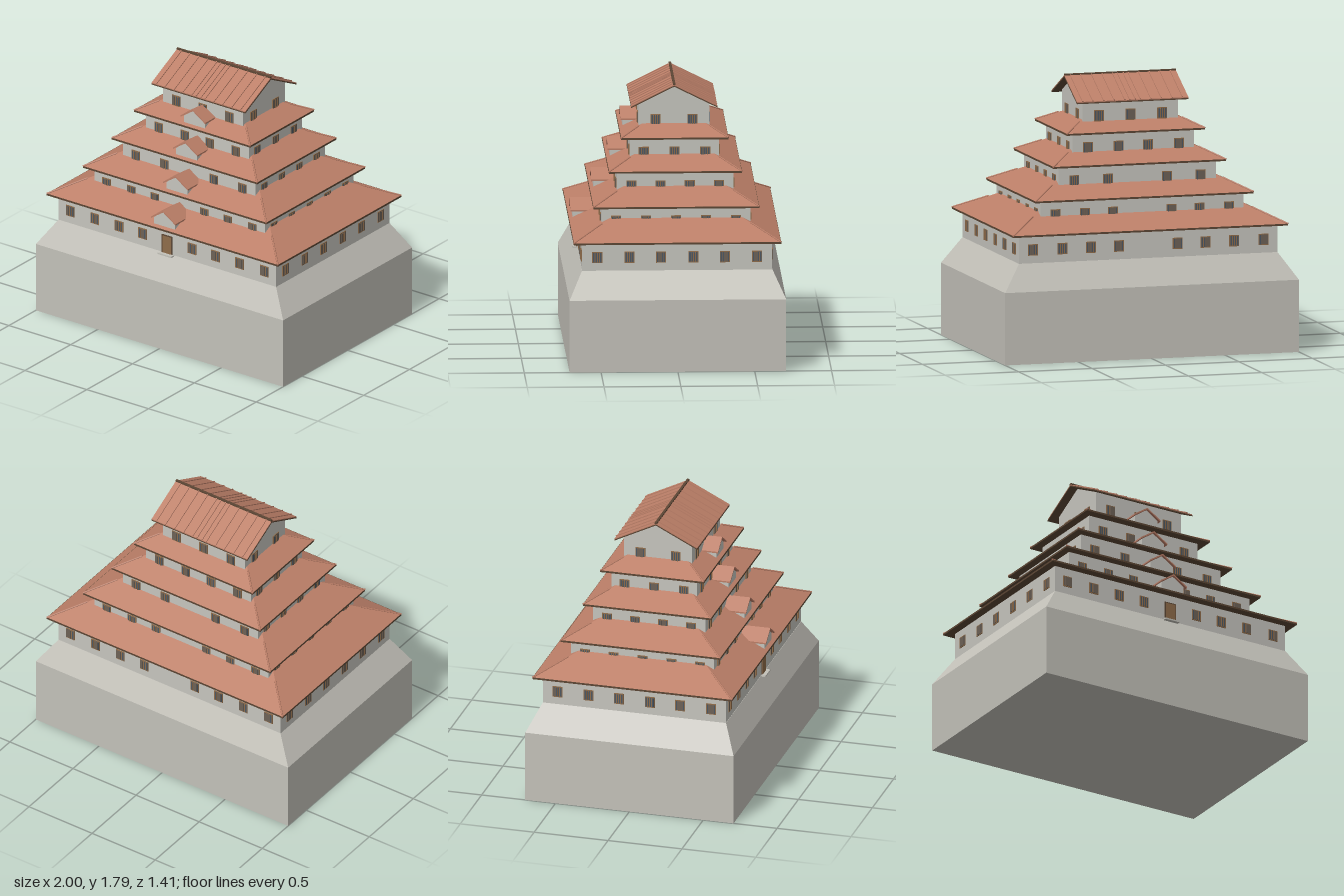
import * as THREE from 'three';

const mat = (name, color) => {
  const m = new THREE.MeshStandardMaterial({ color });
  m.name = name;
  return m;
};

export function createModel() {
  const stone = mat('stone', 0xc3c1b9);
  const plaster = mat('plaster', 0xc6c5be);
  const tile = mat('roof tile', 0xbc7f68);
  const timber = mat('dark timber', 0x5c4634);
  const wood = mat('wood', 0x8f6c4a);
  const pane = mat('window pane', 0x4b5763);

  const model = new THREE.Group();
  const add = (name, geo, material, parent = model) => {
    const m = new THREE.Mesh(geo, material);
    m.name = name;
    parent.add(m);
    return m;
  };

  // Box from y0 to y1 whose top is drawn in by ix and iz
  const frustum = (hx, hz, y0, y1, ix = 0, iz = ix) => {
    const g = new THREE.BoxGeometry(2 * hx, y1 - y0, 2 * hz);
    g.translate(0, (y0 + y1) / 2, 0);
    const p = g.attributes.position;
    for (let i = 0; i < p.count; i++) {
      if (p.getY(i) < (y0 + y1) / 2) continue;
      p.setX(i, Math.sign(p.getX(i)) * (hx - ix));
      p.setZ(i, Math.sign(p.getZ(i)) * (hz - iz));
    }
    g.computeVertexNormals();
    return g;
  };

  // Extrude an x-y outline along z from z0 to z1
  const prism = (points, z0, z1) => {
    const shape = new THREE.Shape(points.map(([x, y]) => new THREE.Vector2(x, y)));
    return new THREE.ExtrudeGeometry(shape, { depth: z1 - z0, bevelEnabled: false })
      .translate(0, 0, z0);
  };
  const gable = (w, bottom, eave, ridge, z0, z1) =>
    prism([[-w, bottom], [w, bottom], [w, eave], [0, ridge], [-w, eave]], z0, z1);
  const chevron = (w, eave, ridge, t, z0, z1) =>
    prism([[-w, eave - t], [0, ridge - t], [w, eave - t], [w, eave], [0, ridge], [-w, eave]], z0, z1);

  // Stone base with battered upper part
  add('stoneBase', frustum(1, 0.705, 0, 0.475), stone);
  add('stoneBatter', frustum(1, 0.705, 0.475, 0.65, 0.12, 0.085), stone);

  // Barred window, built facing +z
  const frameGeo = new THREE.BoxGeometry(0.066, 0.074, 0.006);
  const paneGeo = new THREE.BoxGeometry(0.054, 0.062, 0.003);
  const barGeo = new THREE.BoxGeometry(0.006, 0.062, 0.004);
  const addWindow = (x, y, z, turn) => {
    const w = new THREE.Group();
    w.name = 'window';
    add('windowFrame', frameGeo, wood, w).position.z = 0.002;
    add('windowPane', paneGeo, pane, w).position.z = 0.005;
    for (const bx of [-0.014, 0, 0.014]) {
      add('windowBar', barGeo, wood, w).position.set(bx, 0, 0.007);
    }
    w.position.set(x, y, z);
    w.rotation.y = turn;
    model.add(w);
  };

  // Storeys: wall half sizes and heights, window rows
  const storeys = [
    { x: 0.88, z: 0.618, y0: 0.65, y1: 0.835, win: 0.738, front: [0.2, 0.39, 0.585, 0.785], side: [0.105, 0.31, 0.52] },
    { x: 0.69, z: 0.485, y0: 0.84, y1: 1.04, win: 0.94, front: [0.2, 0.39, 0.59], side: [0, 0.195, 0.39] },
    { x: 0.535, z: 0.38, y0: 1.04, y1: 1.24, win: 1.142, front: [0.2, 0.43], side: [0.095, 0.285] },
    { x: 0.415, z: 0.29, y0: 1.24, y1: 1.44, win: 1.342, front: [0.1, 0.31], side: [0, 0.2] },
    { x: 0.325, z: 0.23, y0: 1.44, y1: 1.645, win: 1.54, front: [0, 0.215], side: [0.12] },
  ];
  const mirrored = (list) => [...new Set(list.flatMap((v) => (v ? [v, -v] : [0])))];
  for (const s of storeys) {
    add('storeyWall', frustum(s.x, s.z, s.y0, s.y1), plaster);
    for (const x of mirrored(s.front)) {
      addWindow(x, s.win, s.z, 0);
      addWindow(x, s.win, -s.z, Math.PI);
    }
    for (const z of mirrored(s.side)) {
      addWindow(s.x, s.win, z, Math.PI / 2);
      addWindow(-s.x, s.win, z, -Math.PI / 2);
    }
  }

  // Hipped skirt roofs with eave boards, hip ridges and a front dormer
  const slope = 0.49;
  const skirts = [
    { x: 0.935, z: 0.675, y: 0.83 },
    { x: 0.742, z: 0.54, y: 1.03 },
    { x: 0.588, z: 0.433, y: 1.235 },
    { x: 0.47, z: 0.35, y: 1.435 },
  ];
  const up = new THREE.Vector3(0, 1, 0);
  skirts.forEach((r, i) => {
    const above = storeys[i + 1];
    const inset = r.x - above.x + 0.005;
    const y = r.y + 0.012;
    add('eaveBoard', frustum(r.x, r.z, r.y, y), timber);
    add('skirtRoof', frustum(r.x - 0.002, r.z - 0.002, y, y + inset * slope, inset), tile);
    const run = r.z - above.z;
    for (const sx of [-1, 1]) for (const sz of [-1, 1]) {
      const a = new THREE.Vector3(sx * r.x, y, sz * r.z);
      const b = new THREE.Vector3(sx * (r.x - run), y + run * slope, sz * (r.z - run));
      const hip = add('hipRidge', new THREE.CylinderGeometry(0.006, 0.006, a.distanceTo(b), 6), tile);
      hip.position.copy(a).lerp(b, 0.5);
      hip.quaternion.setFromUnitVectors(up, b.clone().sub(a).normalize());
    }
    add('dormerBody', gable(0.085, y, r.y + 0.068, r.y + 0.126, above.z - 0.02, r.z - 0.025), plaster);
    add('dormerRoof', chevron(0.1, r.y + 0.072, r.y + 0.138, 0.01, above.z - 0.02, r.z - 0.01), tile);
  });

  // Gabled top roof, its ridge running along x
  const top = new THREE.Group();
  top.name = 'topRoof';
  top.rotation.y = Math.PI / 2;
  model.add(top);
  const eave = 1.643, ridge = 1.782, half = 0.28, len = 0.38;
  add('gableWall', gable(0.23, 1.63, 1.65, 1.763, -0.325, 0.325), plaster, top);
  add('topRoofBoards', chevron(half, eave - 0.006, ridge - 0.006, 0.008, -len, len), timber, top);
  add('topRoofTiles', chevron(half, eave, ridge, 0.006, -len + 0.001, len - 0.001), tile, top);
  add('ridgeCap', new THREE.BoxGeometry(0.016, 0.01, 2 * len), timber, top).position.y = ridge + 0.002;

  // Raised tile ribs on both slopes
  const angle = Math.atan2(ridge - eave, half);
  const ribGeo = new THREE.BoxGeometry(Math.hypot(half, ridge - eave), 0.008, 0.007);
  for (const side of [-1, 1]) {
    for (const z of mirrored([0.0195, 0.053, 0.125, 0.196, 0.27, 0.34])) {
      const rib = add('tileRib', ribGeo, tile, top);
      rib.position.set(side * half / 2, (eave + ridge) / 2 + 0.002, z);
      rib.rotation.z = -side * angle;
    }
  }

  // Front door and its step
  add('doorFrame', new THREE.BoxGeometry(0.084, 0.128, 0.008), timber).position.set(0, 0.714, 0.62);
  add('door', new THREE.BoxGeometry(0.07, 0.12, 0.006), wood).position.set(0, 0.711, 0.623);
  add('doorStep', new THREE.BoxGeometry(0.11, 0.01, 0.05), stone).position.set(0, 0.646, 0.625);

  return model;
}
